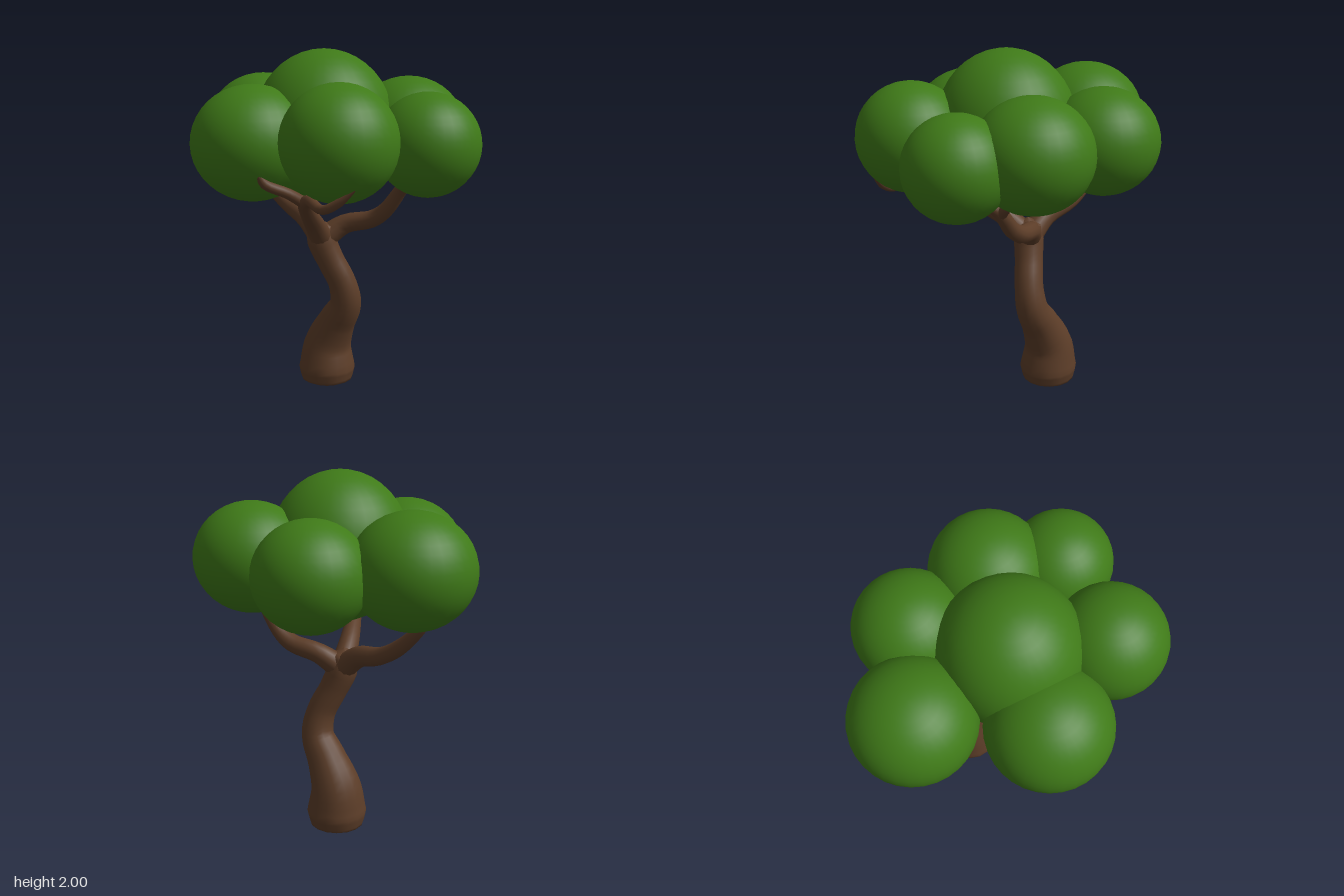
import * as THREE from 'three';

const bark = new THREE.MeshStandardMaterial({ color: 0x5c3d28 });
const leaf = new THREE.MeshStandardMaterial({ color: 0x3f7a18 });

// Tapered limb through stations [x, y, z, radius]
function limb(name, stations, sides = 12, steps = 4) {
  const curve = new THREE.CatmullRomCurve3(stations.map(([x, y, z]) => new THREE.Vector3(x, y, z)));
  curve.getUtoTmapping = (u) => u; // rings land exactly on the stations
  const rings = (stations.length - 1) * steps;
  const geo = new THREE.TubeGeometry(curve, rings, 1, sides);
  const pos = geo.attributes.position;
  const v = new THREE.Vector3();
  for (let i = 0; i <= rings; i++) {
    const k = Math.min(Math.floor(i / steps), stations.length - 2);
    const r = THREE.MathUtils.lerp(stations[k][3], stations[k + 1][3], i / steps - k);
    const centre = curve.getPoint(i / rings);
    for (let j = 0; j <= sides; j++) {
      const n = i * (sides + 1) + j;
      v.fromBufferAttribute(pos, n).sub(centre).multiplyScalar(r).add(centre);
      pos.setXYZ(n, v.x, v.y, v.z);
    }
  }
  geo.computeVertexNormals();
  // Match normals along the seam so the bark stays smooth
  const nor = geo.attributes.normal;
  const a = new THREE.Vector3();
  for (let i = 0; i <= rings; i++) {
    const s = i * (sides + 1), e = s + sides;
    a.fromBufferAttribute(nor, s).add(v.fromBufferAttribute(nor, e)).normalize();
    nor.setXYZ(s, a.x, a.y, a.z);
    nor.setXYZ(e, a.x, a.y, a.z);
  }
  const mesh = new THREE.Mesh(geo, bark);
  mesh.name = name;
  return mesh;
}

export function createModel() {
  const tree = new THREE.Group();
  tree.name = 'tree';

  // Swaying trunk with a rounded foot
  tree.add(limb('trunk', [
    [-0.1, 0, -0.19, 0], [-0.1, 0.012, -0.19, 0.09], [-0.1, 0.04, -0.19, 0.152],
    [-0.1, 0.11, -0.19, 0.168], [-0.095, 0.25, -0.19, 0.143], [-0.03, 0.4, -0.165, 0.112],
    [0.04, 0.53, -0.135, 0.092], [0.03, 0.66, -0.11, 0.082], [-0.035, 0.8, -0.085, 0.08],
    [-0.08, 0.91, -0.068, 0.086], [-0.09, 1.0, -0.06, 0.075], [-0.09, 1.04, -0.06, 0],
  ], 16));

  // Main branches
  tree.add(limb('rightBranch', [
    [-0.08, 0.92, -0.07, 0.07], [-0.2, 1.02, -0.13, 0.06], [-0.36, 1.075, -0.23, 0.048],
    [-0.48, 1.15, -0.28, 0.042], [-0.6, 1.27, -0.31, 0.03], [-0.66, 1.35, -0.31, 0.015],
  ]));
  tree.add(limb('leftBranch', [
    [-0.08, 0.92, -0.07, 0.07], [0.04, 1.01, -0.12, 0.056], [0.2, 1.05, -0.12, 0.05],
    [0.29, 1.11, -0.1, 0.045], [0.4, 1.25, -0.06, 0.036], [0.45, 1.29, 0.02, 0.02],
  ]));
  tree.add(limb('frontBranch', [
    [-0.08, 0.92, -0.07, 0.07], [-0.07, 1.03, 0.06, 0.058], [-0.03, 1.12, 0.23, 0.046],
    [0.03, 1.22, 0.42, 0.036], [0.09, 1.25, 0.5, 0.028], [0.22, 1.235, 0.63, 0.024],
    [0.31, 1.28, 0.645, 0.022], [0.4, 1.36, 0.645, 0.008],
  ]));

  // Twigs that fork off the branches
  tree.add(limb('frontTwig', [
    [0.03, 1.22, 0.42, 0.032], [-0.03, 1.28, 0.5, 0.028], [-0.12, 1.335, 0.58, 0.026],
    [-0.15, 1.41, 0.62, 0.01],
  ]));
  tree.add(limb('leftTwig', [
    [0.37, 1.21, -0.07, 0.032], [0.43, 1.27, -0.12, 0.026], [0.47, 1.32, -0.18, 0.012],
  ]));

  // Foliage: [name, x, y, z, horizontal radius, vertical radius]
  const clumps = [
    ['crownFoliage', -0.02, 1.585, 0.045, 0.385, 0.415],
    ['rightFoliage', -0.535, 1.55, -0.255, 0.33, 0.305],
    ['backFoliage', -0.08, 1.53, -0.485, 0.305, 0.29],
    ['backLeftFoliage', 0.37, 1.55, -0.245, 0.318, 0.3],
    ['leftFoliage', 0.58, 1.51, 0.08, 0.28, 0.275],
    ['frontLeftFoliage', 0.245, 1.545, 0.485, 0.303, 0.3],
    ['frontRightFoliage', -0.29, 1.513, 0.37, 0.33, 0.308],
  ];
  const ball = new THREE.SphereGeometry(1, 32, 20);
  for (const [name, x, y, z, r, h] of clumps) {
    const clump = new THREE.Mesh(ball, leaf);
    clump.name = name;
    clump.position.set(x, y, z);
    clump.scale.set(r, h, r);
    tree.add(clump);
  }
  return tree;
}
